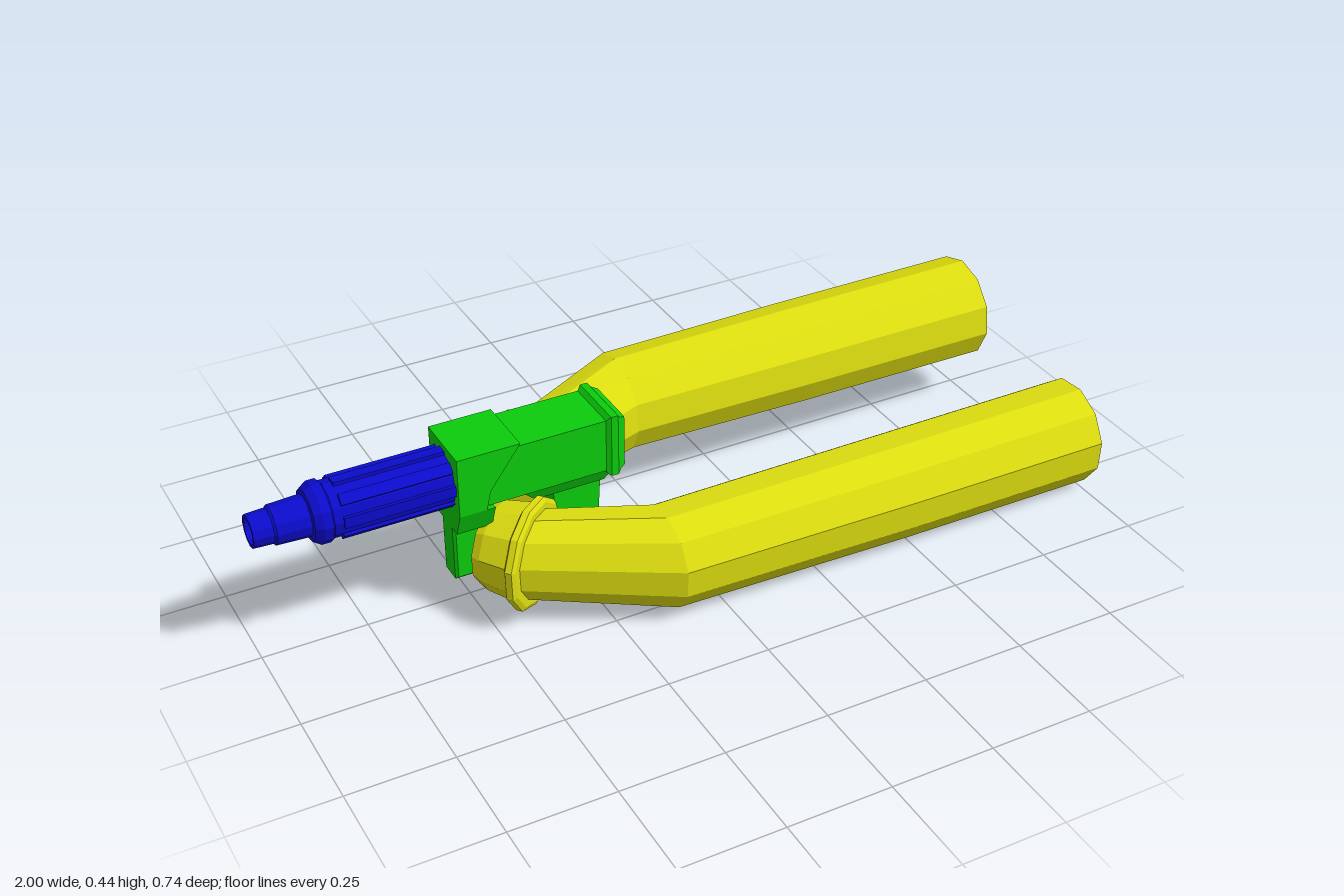
import * as THREE from 'three';

const paint = (color) => new THREE.MeshStandardMaterial({ color, flatShading: true, side: THREE.DoubleSide });
const YELLOW = paint(0xdede10), GREEN = paint(0x0ccc0c), BLUE = paint(0x0c0ccc);
const AXIS_Z = 0.03; // centre plane of the tool

function add(parent, name, geometry, material) {
  const mesh = new THREE.Mesh(geometry, material);
  mesh.name = name;
  parent.add(mesh);
  return mesh;
}

// Joins closed loops of points into a capped solid; flip reverses the winding.
function loft(loops, flip) {
  const n = loops[0].length, pos = [], idx = [];
  const tri = (a, b, c) => (flip ? idx.push(a, c, b) : idx.push(a, b, c));
  loops.forEach((l) => l.forEach((p) => pos.push(...p)));
  for (let i = 0; i < loops.length - 1; i++) {
    for (let j = 0; j < n; j++) {
      const a = i * n + j, b = i * n + (j + 1) % n;
      tri(a, a + n, b);
      tri(b, a + n, b + n);
    }
  }
  const last = (loops.length - 1) * n;
  for (let j = 1; j < n - 1; j++) {
    tri(0, j, j + 1);
    tri(last, last + j + 1, last + j);
  }
  const g = new THREE.BufferGeometry();
  g.setAttribute('position', new THREE.Float32BufferAttribute(pos, 3));
  g.setIndex(idx);
  const flat = g.toNonIndexed();
  flat.computeVertexNormals();
  return flat;
}

// Eleven-sided arm section, with its plane turned about the vertical axis.
function section(x, y, z, r, turn, twist, side) {
  const loop = [];
  for (let j = 0; j < 11; j++) {
    const a = (j / 11) * Math.PI * 2 + twist;
    const t = r * Math.sin(a);
    loop.push([x + t * Math.sin(turn), y + r * Math.cos(a), side * (z + t * Math.cos(turn))]);
  }
  return loop;
}

// Sleeve, bent elbow, cuff and tapering hand; side is the sign of z.
function makeArm(side, shift, endY, wristY, twist) {
  const arm = new THREE.Group();
  const turn = 0.87, nx = -Math.cos(turn), nz = Math.sin(turn);
  const wx = -0.265 + shift, wz = -0.118;
  const at = (d, r) => section(wx + nx * d, wristY, wz + nz * d, r, turn, twist, side);
  const flip = side > 0;
  add(arm, 'sleeve', loft([
    section(1, endY, -0.243, 0.13, 0, twist, -side * -1),
    section(0.48, endY, -0.243, 0.128, 0, twist, side),
    section(shift, endY + 0.003, -0.24, 0.121, 0, twist, side),
    at(-0.008, 0.105),
  ], flip), YELLOW);
  add(arm, 'cuff', loft([at(-0.014, 0.122), at(-0.008, 0.133), at(0.008, 0.133), at(0.014, 0.122)], flip), YELLOW);
  add(arm, 'hand', loft([at(0.01, 0.117), at(0.085, 0.105), at(0.108, 0.094)], flip), YELLOW);
  return arm;
}

// Side outline in x and y, extruded across z and centred on the tool plane.
function plate(points, width, bevel = 0) {
  const shape = new THREE.Shape(points.map(([x, y]) => new THREE.Vector2(x, y)));
  const g = new THREE.ExtrudeGeometry(shape, {
    depth: width - 2 * bevel, bevelEnabled: bevel > 0, bevelSize: bevel,
    bevelThickness: bevel, bevelOffset: -bevel, bevelSegments: 1,
  });
  return g.translate(0, 0, AXIS_Z - width / 2 + bevel);
}

// Rectangular section across the x axis.
const rect = (x, y0, y1, w) => [
  [x, y0, AXIS_Z - w], [x, y1, AXIS_Z - w], [x, y1, AXIS_Z + w], [x, y0, AXIS_Z + w],
];
// Rectangular section across the y axis.
const slab = (y, x0, x1, w) => [
  [x0, y, AXIS_Z - w], [x1, y, AXIS_Z - w], [x1, y, AXIS_Z + w], [x0, y, AXIS_Z + w],
];

function makeBody() {
  const body = new THREE.Group();
  add(body, 'receiver', plate([[-0.5, 0.305], [-0.17, 0.305], [-0.17, 0.437], [-0.5, 0.437]], 0.142), GREEN);
  add(body, 'frontBlock', plate([[-0.555, 0.3], [-0.49, 0.3], [-0.48, 0.345], [-0.405, 0.447], [-0.555, 0.447]], 0.156), GREEN);
  // Stepped lip and recessed plate on the rear face
  add(body, 'rearLip', loft([
    rect(-0.195, 0.3, 0.437, 0.071), rect(-0.185, 0.292, 0.447, 0.078),
    rect(-0.168, 0.292, 0.447, 0.078), rect(-0.16, 0.3, 0.437, 0.072),
    rect(-0.147, 0.305, 0.432, 0.066),
  ]), GREEN);
  // Narrowing undersides, then the two grips
  add(body, 'frontTaper', loft([slab(0.3, -0.555, -0.47, 0.078), slab(0.24, -0.555, -0.47, 0.054)]), GREEN);
  add(body, 'rearTaper', loft([slab(0.307, -0.4, -0.17, 0.066), slab(0.265, -0.36, -0.19, 0.045)]), GREEN);
  add(body, 'frontGrip', plate([[-0.555, 0.1], [-0.515, 0.1], [-0.475, 0.15], [-0.475, 0.25], [-0.555, 0.25]], 0.064, 0.006), GREEN);
  add(body, 'rearGrip', plate([[-0.305, 0.047], [-0.205, 0.047], [-0.19, 0.3], [-0.31, 0.3]], 0.062), GREEN);
  return body;
}

function makeBarrel() {
  const barrel = new THREE.Group();
  const profile = [[0, 0], [0.065, 0], [0.065, 0.28], [0.071, 0.284], [0.071, 0.305], [0.06, 0.322], [0.048, 0.324],
    [0.045, 0.4], [0.04, 0.405], [0.038, 0.45], [0.03, 0.45], [0.028, 0.438], [0, 0.438]];
  const core = add(barrel, 'barrelCore', new THREE.LatheGeometry(profile.map(([r, h]) => new THREE.Vector2(r, h)), 12), BLUE);
  core.name = 'barrelCore';
  // Raised ribs along the shroud
  for (let i = 0; i < 8; i++) {
    const a = (i / 8) * Math.PI * 2;
    const rib = add(barrel, 'barrelRib', new THREE.BoxGeometry(0.012, 0.26, 0.026), BLUE);
    rib.position.set(Math.cos(a) * 0.064, 0.13, Math.sin(a) * 0.064);
    rib.rotation.y = -a;
  }
  barrel.rotation.z = Math.PI / 2;
  barrel.position.set(-0.55, 0.363, AXIS_Z - 0.003);
  return barrel;
}

export function createModel() {
  const model = new THREE.Group();
  const parts = {
    rightArm: makeArm(-1, 0, 0.236, 0.237, 0),
    leftArm: makeArm(1, -0.125, 0.132, 0.155, -0.19),
    toolBody: makeBody(),
    barrel: makeBarrel(),
  };
  // The arm sections are laid out on the negative z side, so mirror by sign.
  for (const [name, part] of Object.entries(parts)) {
    part.name = name;
    if (name.endsWith('Arm')) part.scale.z = -1;
    model.add(part);
  }
  return model;
}
